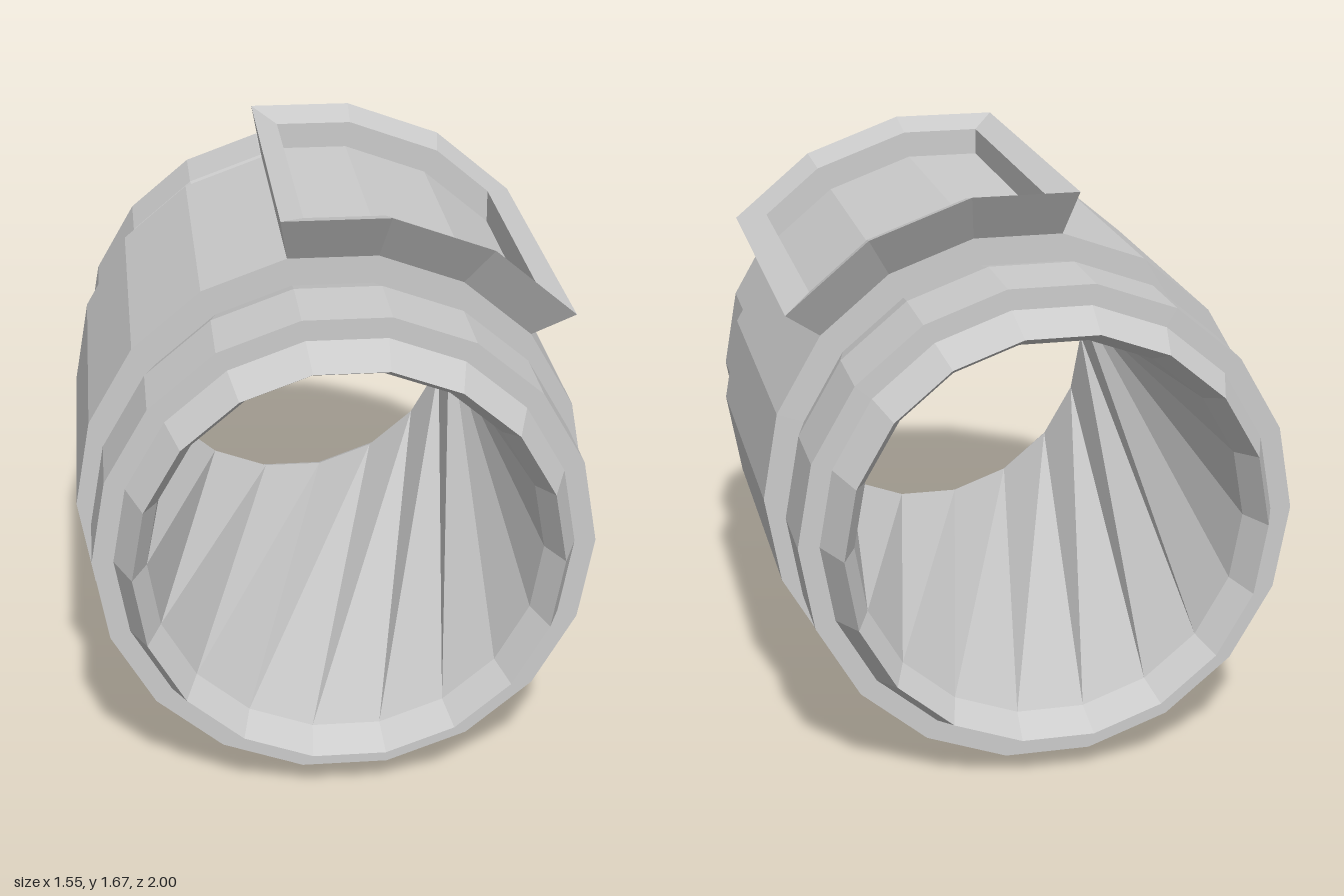
import * as THREE from 'three';

const CY = 0.763, SIDES = 18;
const material = new THREE.MeshStandardMaterial({ color: 0xcccccc, flatShading: true });

// Point on a circle around the sleeve axis, angle in degrees
const polar = (r, deg, z) => {
  const a = THREE.MathUtils.degToRad(deg);
  return [r * Math.cos(a), CY + r * Math.sin(a), z];
};

function meshFromQuads(name, quads) {
  const pos = [];
  for (const [a, b, c, d] of quads) pos.push(...a, ...b, ...c, ...a, ...c, ...d);
  const geo = new THREE.BufferGeometry();
  geo.setAttribute('position', new THREE.Float32BufferAttribute(pos, 3));
  geo.computeVertexNormals();
  const mesh = new THREE.Mesh(geo, material);
  mesh.name = name;
  return mesh;
}

// Stepped outer shell with chamfered end lips
function outerSleeve() {
  const profile = [
    [0.575, -0.9], [0.62, -1], [0.67, -0.875], [0.732, -0.875], [0.732, -0.635], [0.69, -0.475], [0.775, -0.475],
    [0.775, 0.495], [0.69, 0.495], [0.732, 0.63], [0.732, 0.875], [0.67, 0.875], [0.62, 1], [0.575, 0.9],
  ].map(([r, z]) => new THREE.Vector2(r, z));
  const geo = new THREE.LatheGeometry(profile, SIDES, Math.PI / 18);
  geo.rotateX(Math.PI / 2).translate(0, CY, 0);
  const mesh = new THREE.Mesh(geo, material);
  mesh.name = 'outerSleeve';
  return mesh;
}

// Bore whose facets twist from one end to the other
function twistedBore() {
  const step = 360 / SIDES, quads = [];
  const front = (k) => polar(0.575, k * step, 0.9);
  const back = (k) => polar(0.575, (k + 2) * step, -0.9);
  for (let k = 0; k < SIDES; k++) quads.push([front(k), front(k + 1), back(k + 1), back(k)]);
  return meshFromQuads('twistedBore', quads);
}

// Flared frame with a recessed curved floor, wrapped over the top
function framedPanel() {
  const angles = [100, 80, 60, 40];
  const arc = (r) => angles.map((a) => polar(r, a, 0));
  const loop = (pts, zFront, zBack) => [
    ...pts.map(([x, y]) => [x, y, zFront]),
    ...pts.map(([x, y]) => [x, y, zBack]).reverse(),
  ];
  const inner = arc(0.893), floor = arc(0.81);
  inner[0] = [-0.085, 1.643, 0];
  inner[3] = [0.62, 1.39, 0];
  floor[0][0] = -0.085;
  const loops = [
    loop(arc(0.775), 0.495, -0.475),
    loop(arc(0.924), 0.59, -0.572),
    loop(inner, 0.478, -0.457),
    loop(floor, 0.478, -0.457),
  ];
  const quads = [];
  for (let j = 0; j < 3; j++) {
    const a = loops[j], b = loops[j + 1];
    for (let i = 0; i < 8; i++) {
      const n = (i + 1) % 8;
      quads.push([a[i], a[n], b[n], b[i]]);
    }
  }
  const f = loops[3];
  for (let i = 0; i < 3; i++) quads.push([f[i], f[i + 1], f[6 - i], f[7 - i]]);
  return meshFromQuads('framedPanel', quads);
}

export function createModel() {
  const group = new THREE.Group();
  group.name = 'armSleeve';
  group.add(outerSleeve(), twistedBore(), framedPanel());
  return group;
}
